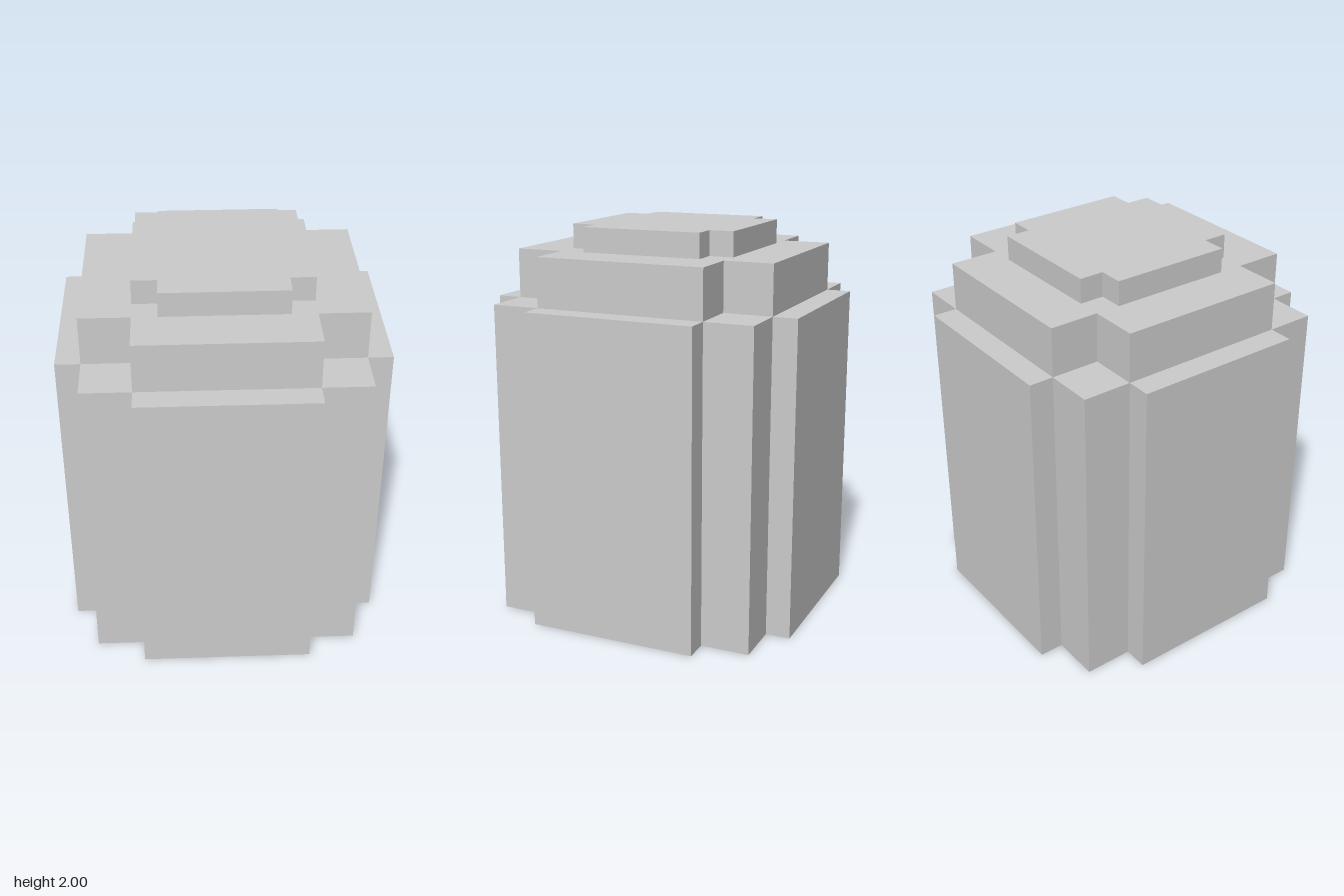
import * as THREE from 'three';

const material = new THREE.MeshStandardMaterial({ color: 0xcccccc, flatShading: true });

// Extrudes an outline given by one quarter of its corners, turned four times about y
function tier(name, quarter, bottom, top) {
  const points = [];
  let corners = quarter;
  for (let i = 0; i < 4; i++) {
    points.push(...corners.map(([x, y]) => new THREE.Vector2(x, y)));
    corners = corners.map(([x, y]) => [-y, x]);
  }
  const geometry = new THREE.ExtrudeGeometry(new THREE.Shape(points), {
    depth: top - bottom,
    bevelEnabled: false,
  });
  geometry.rotateX(-Math.PI / 2);
  const mesh = new THREE.Mesh(geometry, material);
  mesh.name = name;
  mesh.position.y = bottom;
  return mesh;
}

// Quarter of a plus outline: arm reach and half the arm width
const plus = (reach, half) => [[reach, -half], [reach, half], [half, half]];

export function createModel() {
  const group = new THREE.Group();
  group.name = 'steppedBlock';

  const reach = 0.8125, core = 0.6875, half = 0.4375;

  // Body: square core with a raised panel on each side
  const bodyQuarter = [[reach, -half], [reach, half], [core, half], [core, core], [half, core]];
  group.add(tier('body', bodyQuarter, 0, 1.625));

  // Two plus-shaped steps on top
  group.add(tier('shoulder', plus(core, half), 1.625, 1.875));
  group.add(tier('cap', plus(half, 0.3125), 1.875, 2));

  return group;
}
